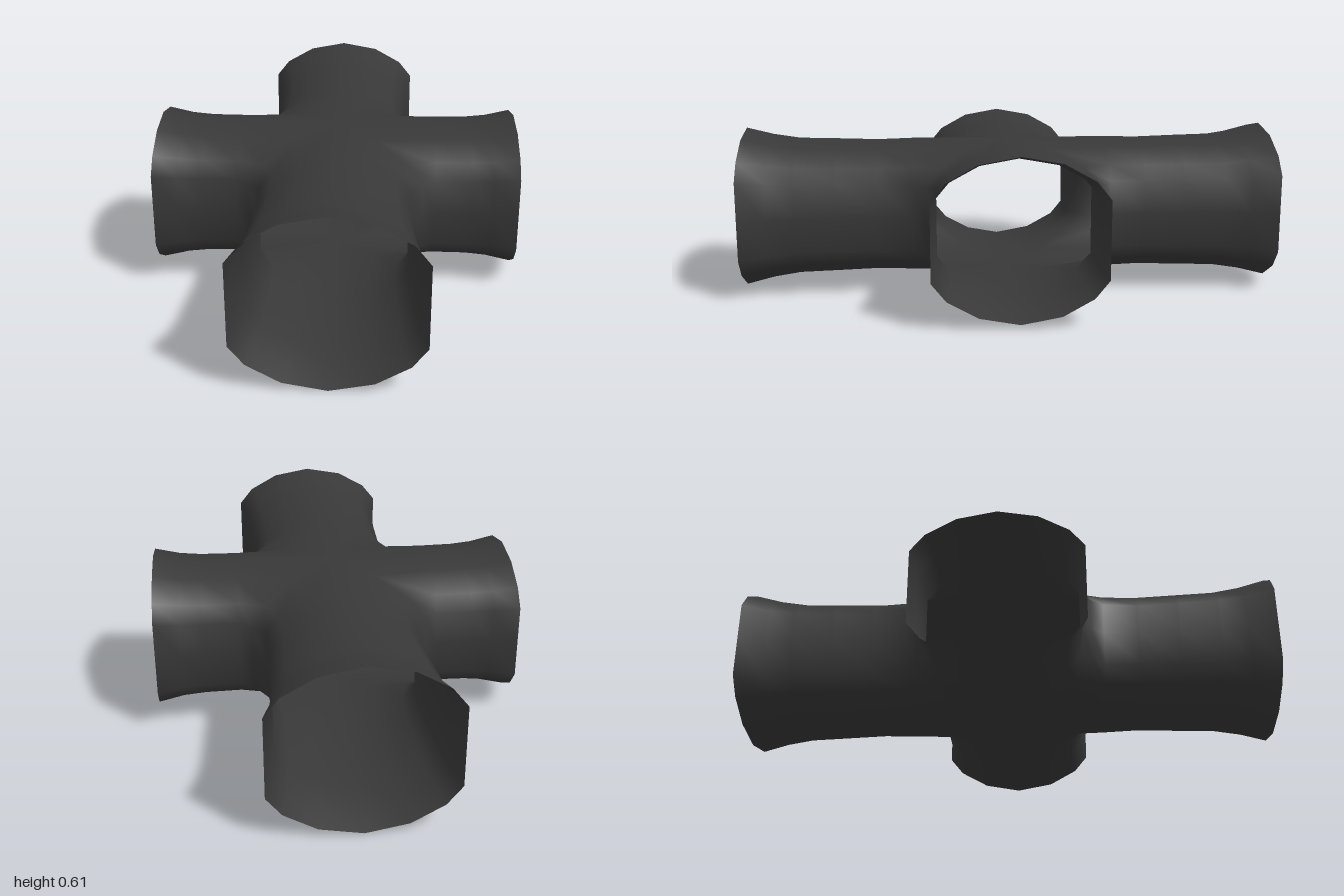
import * as THREE from 'three';
import { mergeVertices } from 'three/addons/utils/BufferGeometryUtils.js';

// Right half of the tube cross-section, top to bottom, in units of half width and half height
const half = [[0, 1], [0.47, 0.91], [0.83, 0.7], [1, 0.48], [1, 0], [1, -0.48], [0.83, -0.7], [0.47, -0.91], [0, -1]];
const section = [...half, ...half.slice(1, -1).reverse().map(([u, v]) => [-u, v])];

// Stations along each arm: distance from centre, half width, half height
const longArm = [[0.37, 0.272, 0.257], [0.5, 0.262, 0.253], [0.65, 0.268, 0.258], [0.8, 0.278, 0.262], [0.9, 0.29, 0.278], [1, 0.317, 0.303]];
const shortArm = [[0.365, 0.28, 0.257], [0.5, 0.282, 0.259], [0.58, 0.286, 0.267], [0.675, 0.303, 0.288]];

const CENTRE_Y = 0.303;
const SEAM = 0.32; // corner of the crotch where two arms meet on the diagonal

export function createModel() {
  const group = new THREE.Group();
  const charcoal = new THREE.MeshStandardMaterial({ color: 0x383838, side: THREE.DoubleSide });
  charcoal.name = 'charcoal';

  const positions = [];
  const index = [];
  const n = section.length;

  // One flared open arm, starting at the V-shaped seam; (s, c) is its direction in x, z
  function addArm(stations, s, c) {
    const base = positions.length / 3;
    const put = (p, y, d) => positions.push(p * c + d * s, CENTRE_Y + y, -p * s + d * c);
    section.forEach(([u, v]) => put(u * SEAM, v * 0.254, Math.abs(u) * SEAM));
    for (const [d, w, h] of stations) section.forEach(([u, v]) => put(u * w, v * h, d));
    for (let j = 0; j < stations.length; j++) {
      for (let i = 0; i < n; i++) {
        const k = (i + 1) % n;
        const a = base + j * n + i;
        const b = base + j * n + k;
        index.push(a, a + n, b, b, a + n, b + n);
      }
    }
  }

  addArm(longArm, 0, 1);
  addArm(shortArm, 1, 0);
  addArm(longArm, 0, -1);
  addArm(shortArm, -1, 0);

  // Weld the four arms so the shading runs smoothly across the junction
  const geometry = new THREE.BufferGeometry();
  geometry.setAttribute('position', new THREE.Float32BufferAttribute(positions, 3));
  geometry.setIndex(index);
  const welded = mergeVertices(geometry, 1e-4);
  welded.computeVertexNormals();

  const pipe = new THREE.Mesh(welded, charcoal);
  pipe.name = 'crossPipe';
  group.add(pipe);
  return group;
}
